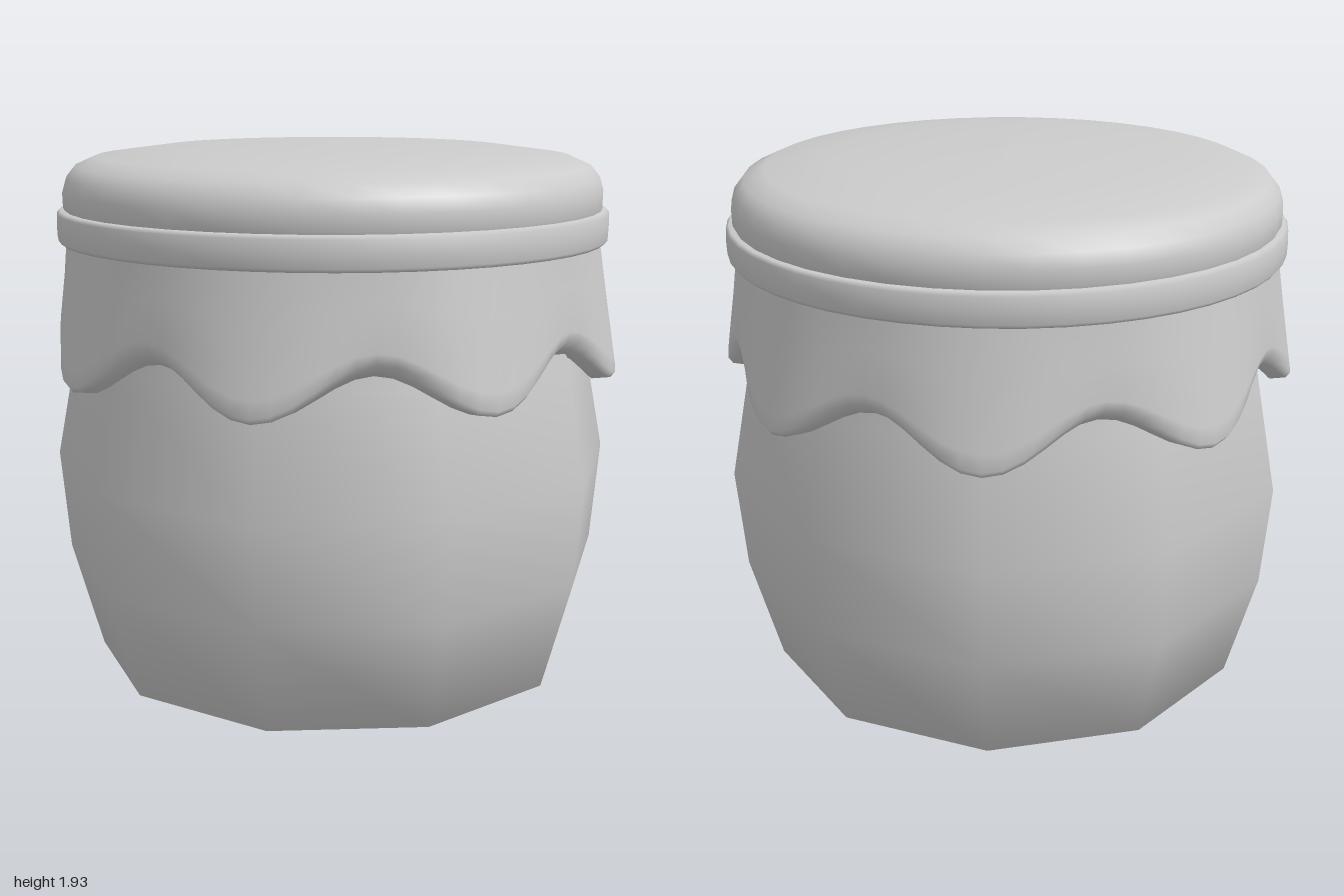
import * as THREE from 'three';

const grey = new THREE.MeshStandardMaterial({ color: 0xcccccc });

// Surface of revolution from [radius, height] pairs, listed bottom to top
function turned(name, profile, sides) {
  const points = profile.map(([r, y]) => new THREE.Vector2(r, y));
  const mesh = new THREE.Mesh(new THREE.LatheGeometry(points, sides), grey);
  mesh.name = name;
  return mesh;
}

// Cloth skirt with eight hanging lobes; each row blends between the
// gathered section (valley) and the hanging section (lobe)
function scallopedSkirt() {
  const valley = [[0.925, 1.62], [0.935, 1.5], [0.952, 1.36], [0.942, 1.325],
    [0.92, 1.30], [0.89, 1.28], [0.87, 1.30], [0.86, 1.5]];
  const lobe = [[0.925, 1.62], [0.955, 1.43], [0.99, 1.22], [1.0, 1.165],
    [0.985, 1.146], [0.93, 1.14], [0.90, 1.17], [0.86, 1.5]];
  const n = 96, positions = [], indices = [];
  valley.forEach(([rv, yv], i) => {
    for (let j = 0; j < n; j++) {
      const a = (j / n) * Math.PI * 2;
      const w = (1 + Math.cos(8 * a)) / 2;
      const r = rv + (lobe[i][0] - rv) * w;
      positions.push(r * Math.sin(a), yv + (lobe[i][1] - yv) * w, r * Math.cos(a));
      if (i < valley.length - 1) {
        const k = (j + 1) % n, p = i * n, q = p + n;
        indices.push(p + j, q + j, p + k, p + k, q + j, q + k);
      }
    }
  });
  const geometry = new THREE.BufferGeometry();
  geometry.setAttribute('position', new THREE.Float32BufferAttribute(positions, 3));
  geometry.setIndex(indices);
  geometry.computeVertexNormals();
  const mesh = new THREE.Mesh(geometry, grey);
  mesh.name = 'clothSkirt';
  return mesh;
}

export function createModel() {
  const group = new THREE.Group();
  group.name = 'coveredJar';

  // Ten-sided, softly shaded pot with a bulging wall
  group.add(turned('jarBody', [[0, 0.005], [0.64, 0.03], [0.85, 0.1], [0.955, 0.48],
    [0.985, 0.83], [0.91, 1.22], [0.88, 1.4], [0.86, 1.6], [0, 1.6]], 10));

  group.add(scallopedSkirt());

  // Band that ties the cloth around the rim
  group.add(turned('tieBand', [[0.9, 1.6], [0.945, 1.6], [0.955, 1.612], [0.957, 1.655],
    [0.955, 1.698], [0.945, 1.71], [0.9, 1.71]], 48));

  // Domed cloth over the lid
  group.add(turned('clothTop', [[0.92, 1.69], [0.934, 1.72], [0.935, 1.77], [0.922, 1.815],
    [0.89, 1.855], [0.82, 1.886], [0.6, 1.915], [0.3, 1.93], [0, 1.937]], 40));

  return group;
}
